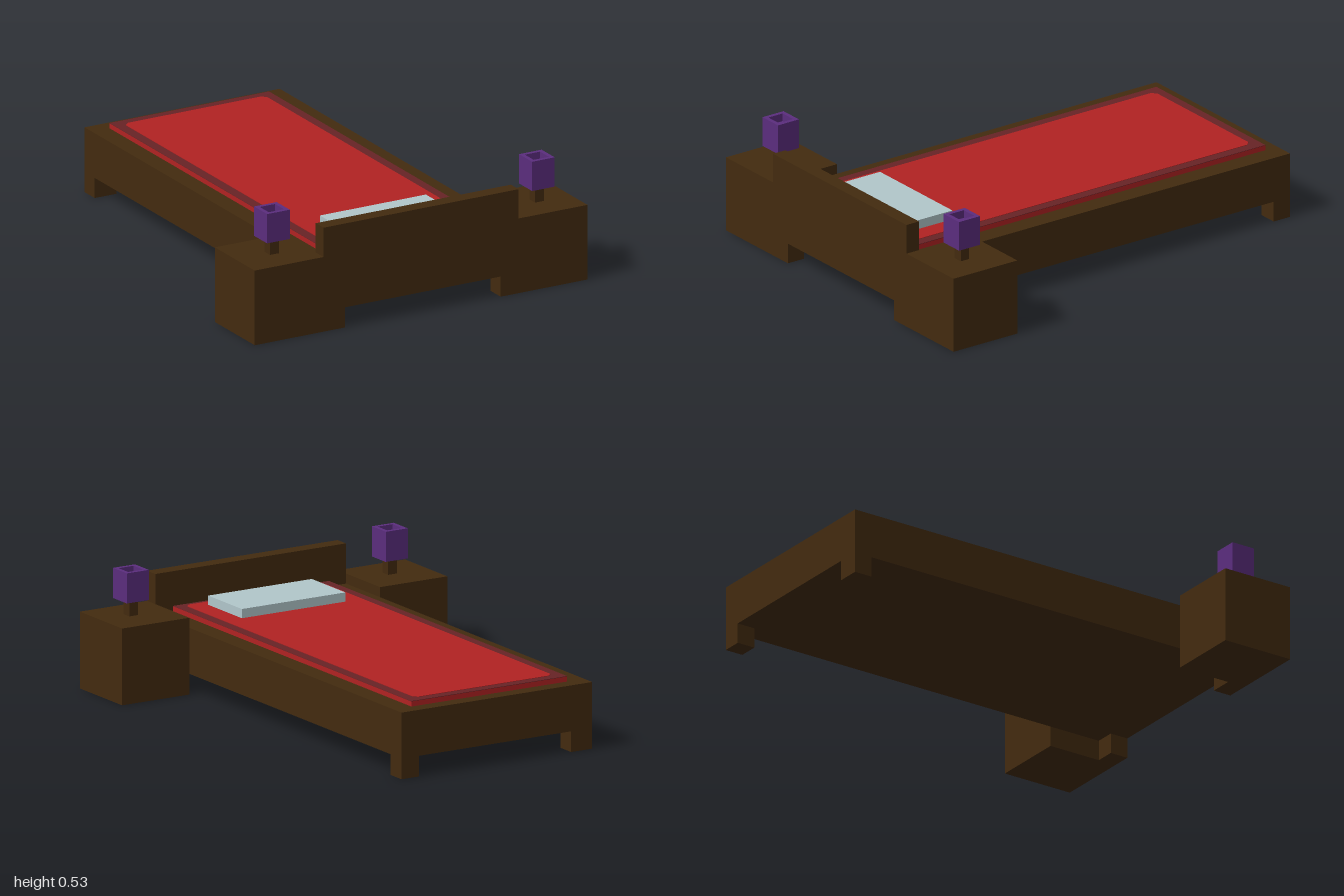
import * as THREE from 'three';

const mat = (name, color) => {
  const m = new THREE.MeshStandardMaterial({ color });
  m.name = name;
  return m;
};

export function createModel() {
  const wood = mat('dark wood', 0x432b0f);
  const red = mat('red blanket', 0xb22222);
  const trim = mat('dark red trim', 0x672326);
  const cloth = mat('pale blue pillow', 0xb2c7cb);
  const purple = mat('purple lampshade', 0x5b2d7e);

  const bed = new THREE.Group();
  bed.name = 'bedWithNightstands';

  // Box given by its lower and upper bounds on each axis
  const box = (name, material, [x0, x1], [y0, y1], [z0, z1], parent = bed) => {
    const mesh = new THREE.Mesh(new THREE.BoxGeometry(x1 - x0, y1 - y0, z1 - z0), material);
    mesh.position.set((x0 + x1) / 2, (y0 + y1) / 2, (z0 + z1) / 2);
    mesh.name = name;
    parent.add(mesh);
    return mesh;
  };

  // Frame, headboard and legs
  box('bedFrame', wood, [-0.475, 0.475], [0.09, 0.29], [-1, 1]);
  box('headboard', wood, [-0.475, 0.475], [0.29, 0.465], [0.935, 1]);
  for (const [z0, z1] of [[-1, -0.915], [0.915, 1]]) {
    box('rightLeg', wood, [-0.475, -0.37], [0, 0.09], [z0, z1]);
    box('leftLeg', wood, [0.387, 0.475], [0, 0.09], [z0, z1]);
  }

  // Mattress with a dark border around the blanket
  box('mattress', red, [-0.39, 0.386], [0.28, 0.312], [-0.937, 0.935]);
  box('blanketBorder', trim, [-0.39, 0.386], [0.312, 0.314], [-0.937, 0.935]);

  // Blanket panel with clipped corners
  const [l, r, b, t, c] = [-0.346, 0.342, -0.913, 0.895, 0.02];
  const panel = new THREE.Shape([
    [l + c, b], [r - c, b], [r, b + c], [r, t - c],
    [r - c, t], [l + c, t], [l, t - c], [l, b + c],
  ].map(([x, y]) => new THREE.Vector2(x, y)));
  const panelGeometry = new THREE.ExtrudeGeometry(panel, { depth: 0.002, bevelEnabled: false });
  panelGeometry.rotateX(-Math.PI / 2);
  const blanket = new THREE.Mesh(panelGeometry, red);
  blanket.name = 'blanketPanel';
  blanket.position.y = 0.314;
  bed.add(blanket);

  box('pillow', cloth, [-0.26, 0.256], [0.313, 0.356], [0.6, 0.865]);

  // Hollow square shade, open at the top
  const square = (Type, h) => new Type([[-h, -h], [h, -h], [h, h], [-h, h]]
    .map(([x, y]) => new THREE.Vector2(x, y)));
  const rim = square(THREE.Shape, 0.055);
  rim.holes.push(square(THREE.Path, 0.037));
  const rimGeometry = new THREE.ExtrudeGeometry(rim, { depth: 0.035, bevelEnabled: false });
  rimGeometry.rotateX(-Math.PI / 2);

  // Nightstands with lamps
  for (const [side, x0, x1, lampX] of [['right', -0.81, -0.475, -0.635], ['left', 0.475, 0.81, 0.655]]) {
    box(side + 'Nightstand', wood, [x0, x1], [0, 0.334], [0.667, 1]);
    const lamp = new THREE.Group();
    lamp.name = side + 'Lamp';
    lamp.position.set(lampX, 0.334, 0.843);
    box('lampStem', wood, [-0.022, 0.022], [0, 0.068], [-0.022, 0.022], lamp);
    box('lampShade', purple, [-0.055, 0.055], [0.068, 0.164], [-0.055, 0.055], lamp);
    const top = new THREE.Mesh(rimGeometry, purple);
    top.name = 'lampShadeRim';
    top.position.y = 0.164;
    lamp.add(top);
    bed.add(lamp);
  }
  return bed;
}
